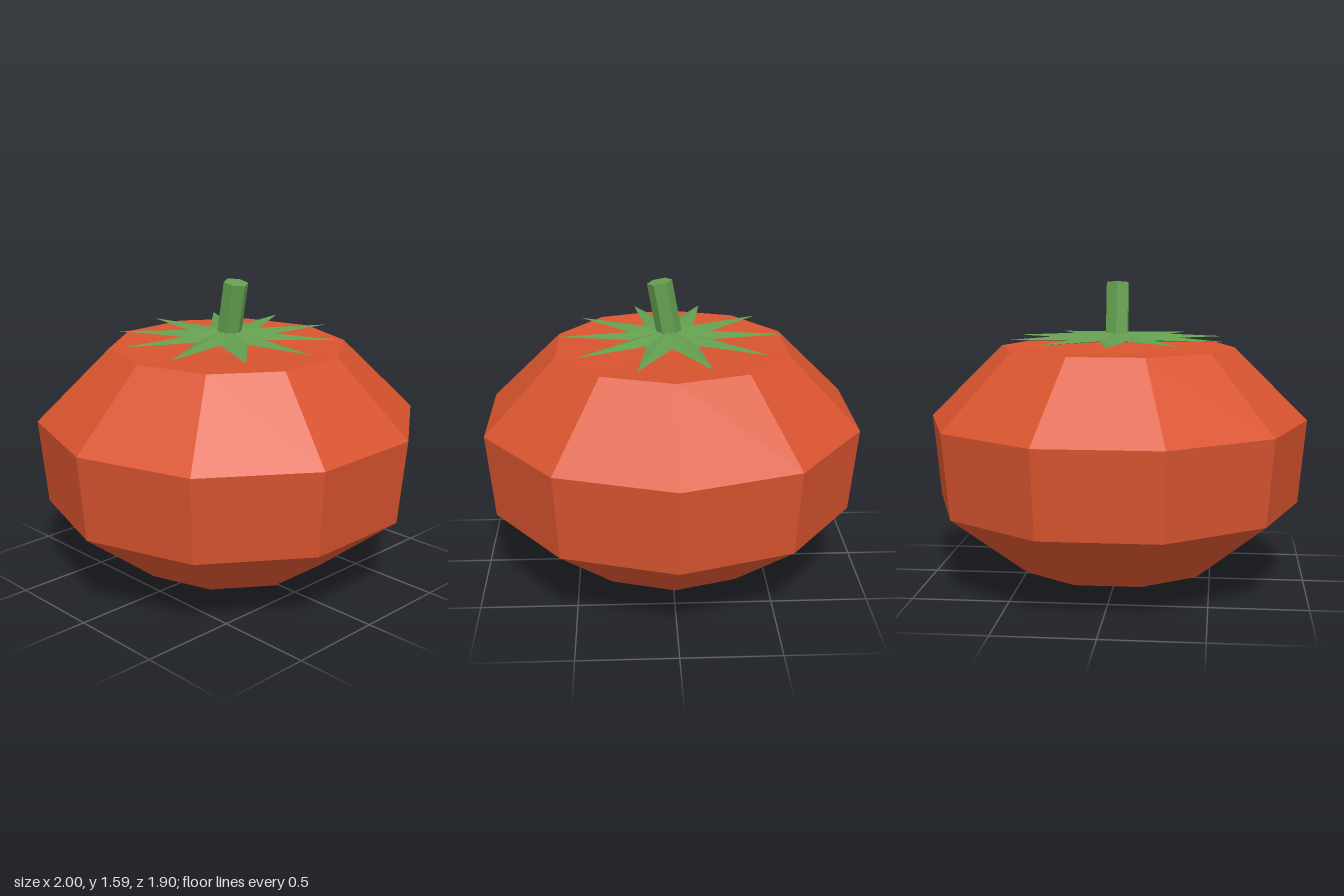
import * as THREE from 'three';

const fruitRed = new THREE.MeshStandardMaterial({ color: 0xd9542f });
fruitRed.name = 'fruitRed';
const leafGreen = new THREE.MeshStandardMaterial({ color: 0x639e4f });
leafGreen.name = 'leafGreen';

// Give every face its own normal for a faceted look
function faceted(geometry) {
  const flat = geometry.index ? geometry.toNonIndexed() : geometry;
  flat.computeVertexNormals();
  return flat;
}

function part(name, geometry, material) {
  const mesh = new THREE.Mesh(faceted(geometry), material);
  mesh.name = name;
  return mesh;
}

// Star of pointed leaves: a shallow double cone over a star outline
function starGeometry(points, outer, inner, rise, drop) {
  const count = points * 2;
  const rim = (i) => {
    const a = (i / count) * Math.PI * 2;
    const r = i % 2 ? inner : outer;
    return [Math.sin(a) * r, 0, Math.cos(a) * r];
  };
  const positions = [];
  for (let i = 0; i < count; i++) {
    const a = rim(i), b = rim(i + 1);
    positions.push(0, rise, 0, ...a, ...b);
    positions.push(0, -drop, 0, ...b, ...a);
  }
  const geometry = new THREE.BufferGeometry();
  geometry.setAttribute('position', new THREE.Float32BufferAttribute(positions, 3));
  return geometry;
}

export function createModel() {
  const model = new THREE.Group();
  model.name = 'tomato';

  // Ten-sided fruit with a shallow dimple on top
  const profile = [
    [0, 0], [0.54, 0.1], [0.96, 0.43], [1, 0.87], [0.615, 1.25], [0, 1.2],
  ].map(([r, y]) => new THREE.Vector2(r, y));
  model.add(part('fruit', new THREE.LatheGeometry(profile, 10, Math.PI / 2), fruitRed));

  // Leaf crown
  const crown = part('leafCrown', starGeometry(10, 0.585, 0.22, 0.035, 0.015), leafGreen);
  crown.position.y = 1.293;
  model.add(crown);

  // Six-sided stem leaning forward
  const stem = part('stem', new THREE.CylinderGeometry(0.065, 0.065, 0.31, 6), leafGreen);
  stem.position.set(0, 1.427, 0.029);
  stem.rotation.x = 0.18;
  model.add(stem);

  return model;
}
